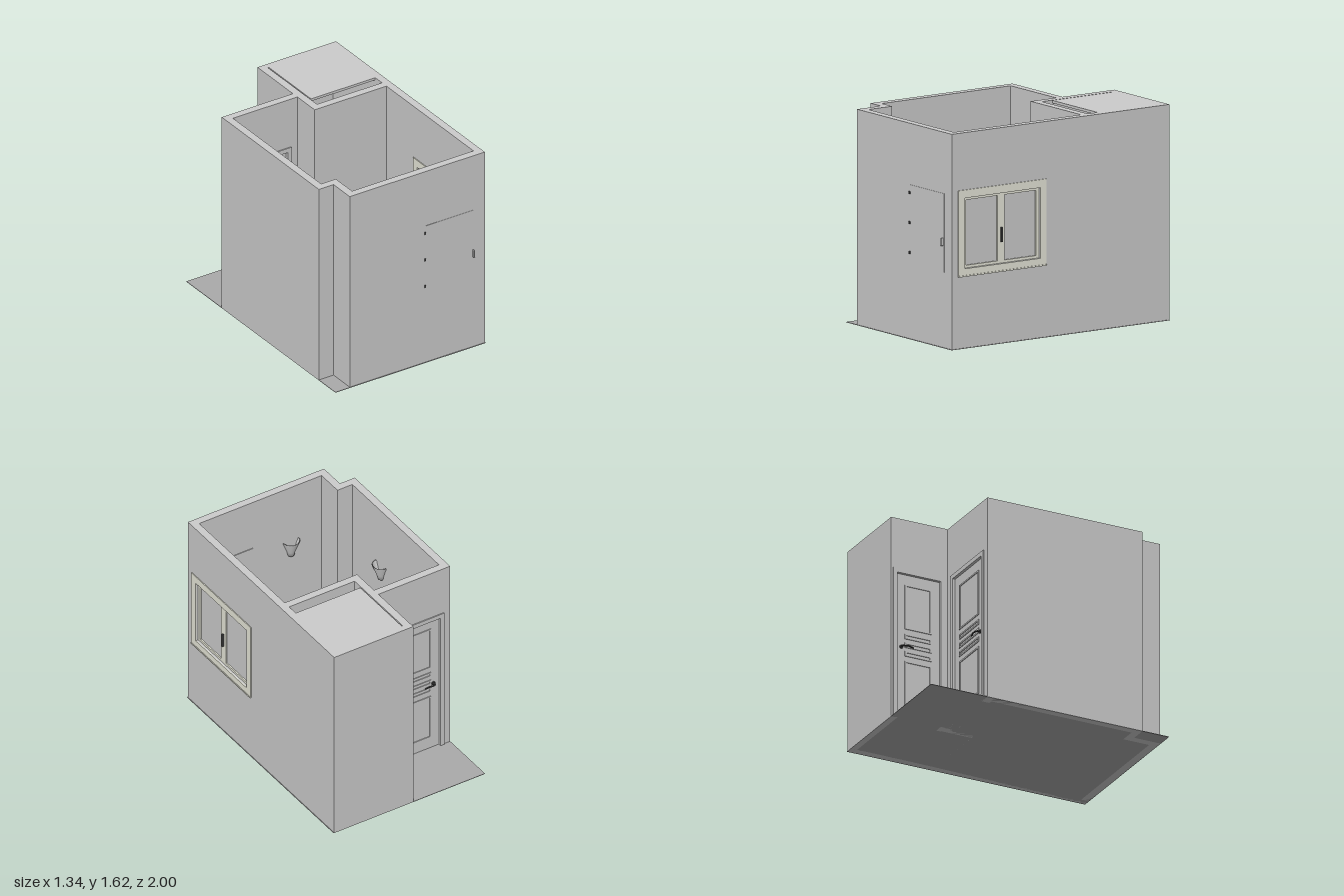
import * as THREE from 'three';
import { RoundedBoxGeometry } from 'three/addons/geometries/RoundedBoxGeometry.js';

const mat = (color, side = THREE.FrontSide) => new THREE.MeshStandardMaterial({ color, side });
const GREY = mat(0xcccccc), FLOOR = mat(0xaaaaaa), CREAM = mat(0xe6e6d8), DARK = mat(0x444444);
const BLACK = mat(0x151515), BLUE = mat(0x245078), ORANGE = mat(0xb8601c), SILVER = mat(0x9a9a9a);
const H = 1.62, DESK = 0.43;

function add(parent, name, geo, material = GREY, x = 0, y = 0, z = 0) {
  const m = new THREE.Mesh(geo, material);
  m.name = name;
  m.position.set(x, y, z);
  parent.add(m);
  return m;
}
// Box given by its extents
function box(parent, name, x0, x1, y0, y1, z0, z1, material = GREY) {
  return add(parent, name, new THREE.BoxGeometry(x1 - x0, y1 - y0, z1 - z0), material,
    (x0 + x1) / 2, (y0 + y1) / 2, (z0 + z1) / 2);
}
function group(parent, name, x = 0, y = 0, z = 0, ry = 0) {
  const g = new THREE.Group();
  g.name = name;
  g.position.set(x, y, z);
  g.rotation.y = ry;
  parent.add(g);
  return g;
}
function rect(Type, x0, x1, y0, y1) {
  const s = new Type();
  s.moveTo(x0, y0); s.lineTo(x1, y0); s.lineTo(x1, y1); s.lineTo(x0, y1); s.closePath();
  return s;
}
// Rectangular plate with rectangular holes, extruded along +z from z
function plate(parent, name, outer, holes, depth, z = 0, material = GREY) {
  const s = rect(THREE.Shape, ...outer);
  for (const h of holes) s.holes.push(rect(THREE.Path, ...h));
  return add(parent, name, new THREE.ExtrudeGeometry(s, { depth, bevelEnabled: false }), material, 0, 0, z);
}

// Lever handle facing +z, lever pointing along dir
function lever(parent, x, y, z, dir, face) {
  const g = group(parent, 'doorHandle', x, y, z);
  g.scale.z = 1;
  const path = new THREE.CatmullRomCurve3([[0, 0, 0], [0, 0, 0.022], [dir * 0.015, 0, 0.028], [dir * 0.05, 0.004, 0.028],
    [dir * 0.09, -0.004, 0.024]].map(([a, b, c]) => new THREE.Vector3(a, b, c * face)));
  add(g, 'handleLever', new THREE.TubeGeometry(path, 20, 0.006, 8), DARK);
  const rose = add(g, 'handleRosette', new THREE.CylinderGeometry(0.015, 0.015, 0.008, 20), DARK);
  rose.rotation.x = Math.PI / 2;
}

// Wall with a panelled door; local x along the wall, outer face at z = 0, inner at z = -t
function doorWall(parent, name, x, z, ry, x0, x1, d0, d1, handleX, dir) {
  const g = group(parent, name, x, 0, z, ry), t = 0.06, top = 1.18, c = 0.035;
  const s = new THREE.Shape();
  [[x0, 0], [d0, 0], [d0, top], [d1, top], [d1, 0], [x1, 0], [x1, H], [x0, H]]
    .forEach(([a, b], i) => (i ? s.lineTo(a, b) : s.moveTo(a, b)));
  add(g, 'wall', new THREE.ExtrudeGeometry(s, { depth: t, bevelEnabled: false }), GREY, 0, 0, -t);
  for (const zc of [0, -t - 0.008]) {
    box(g, 'doorCasing', d0 - c, d0, 0, top, zc, zc + 0.008);
    box(g, 'doorCasing', d1, d1 + c, 0, top, zc, zc + 0.008);
    box(g, 'doorCasing', d0 - c, d1 + c, top, top + c, zc, zc + 0.008);
  }
  box(g, 'doorLeaf', d0, d1, 0.005, top, -0.045, -0.015);
  const m = 0.07;
  const panels = [[0.1, 0.48], [0.52, 0.56], [0.59, 0.63], [0.66, 0.70], [0.74, 1.1]];
  for (const [a, b] of panels) for (const zc of [-0.015, -0.051])
    plate(g, 'doorMoulding', [d0 + m, d1 - m, a, b], [[d0 + m + 0.012, d1 - m - 0.012, a + 0.012, b - 0.012]], 0.006, zc);
  lever(g, handleX, 0.59, -0.011, dir, 1);
  lever(g, handleX, 0.59, -0.049, dir, -1);
}

function walls(root) {
  const g = group(root, 'walls');
  box(g, 'leftWall', -0.67, -0.61, 0, H, -0.47, 0.70);
  box(g, 'cornerReturn', -0.67, -0.48, 0, H, 0.70, 0.76);
  box(g, 'cornerSide', -0.54, -0.48, 0, H, 0.76, 0.915);
  box(g, 'frontWall', -0.54, 0.595, 0, H, 0.915, 0.975);
  box(g, 'partitionWall', -0.04, 0.595, 0, H, -0.30, -0.24);
  box(g, 'partitionSide', -0.04, 0.02, 0, H, -0.47, -0.30);
  box(g, 'closetBackWall', 0.02, 0.595, 0, H, -1, -0.95);
  box(g, 'closetCeiling', 0.028, 0.595, H - 0.02, H, -0.95, -0.39);
  // Doors to the hall and to the closet
  doorWall(g, 'entranceDoorWall', 0, -0.53, Math.PI, 0.04, 0.67, 0.13, 0.58, 0.53, -1);
  doorWall(g, 'closetDoorWall', -0.04, 0, -Math.PI / 2, -1, -0.47, -0.95, -0.59, -0.91, 1);
  // Right wall; local x is -z
  const r = group(g, 'rightWall', 0.595, 0, 0, Math.PI / 2);
  plate(r, 'windowWall', [-0.975, 1, 0, H], [[-0.86, -0.175, 0.60, 1.13]], 0.06);
}

// Two-sash window in the right wall
function sideWindow(root) {
  const g = group(root, 'sideWindow', 0.655, 0, 0, Math.PI / 2);
  for (const z of [-0.001, -0.067])
    plate(g, 'windowCasing', [-0.92, -0.12, 0.54, 1.19], [[-0.86, -0.175, 0.60, 1.13]], 0.008, z, CREAM);
  box(g, 'windowSill', -0.92, -0.12, 0.54, 0.55, 0, 0.012, CREAM);
  plate(g, 'windowSash', [-0.86, -0.175, 0.60, 1.13],
    [[-0.835, -0.55, 0.62, 1.11], [-0.485, -0.20, 0.62, 1.11]], 0.03, -0.045, CREAM);
  for (const x of [-0.835, -0.485]) box(g, 'windowPane', x, x + 0.285, 0.62, 1.11, -0.034, -0.026);
  box(g, 'windowHandle', -0.525, -0.513, 0.76, 0.87, -0.015, 0.0, DARK);
}

// Shuttered leaf in the front wall, almost flush with it
function frontWindow(root) {
  const g = group(root, 'frontWindow');
  box(g, 'shutterLeaf', 0.135, 0.56, 0.57, 1.16, 0.97, 0.978);
  plate(g, 'innerFrame', [0.125, 0.59, 0.55, 1.2], [[0.155, 0.565, 0.58, 1.17]], 0.006, 0.909);
  for (const y of [0.65, 0.875, 1.1]) box(g, 'hinge', 0.12, 0.131, y - 0.01, y + 0.01, 0.972, 0.984, DARK);
  add(g, 'shutterHandle', new RoundedBoxGeometry(0.012, 0.06, 0.022, 2, 0.004), GREY, 0.548, 0.798, 0.987);
}

// Half-round uplight; flat side to the wall
function sconce(root, x, z, ry) {
  const g = group(root, 'wallSconce', x, 1.0, z, ry);
  const pts = [[0.001, 0], [0.025, 0], [0.035, 0.04], [0.07, 0.13], [0.062, 0.13], [0.03, 0.045], [0.001, 0.03]]
    .map(([a, b]) => new THREE.Vector2(a, b));
  add(g, 'sconceShade', new THREE.LatheGeometry(pts, 24, -Math.PI / 2, Math.PI), mat(0xcccccc, THREE.DoubleSide));
}

function desk(root) {
  const g = group(root, 'desk');
  box(g, 'deskTop', 0.18, 0.595, DESK - 0.02, DESK, 0.2, 0.915);
  for (const z of [0.2, 0.895]) box(g, 'deskSide', 0.2, 0.595, 0.006, DESK - 0.02, z, z + 0.02);
  box(g, 'deskBack', 0.575, 0.595, 0.15, DESK - 0.02, 0.22, 0.895);

  const l = group(g, 'laptop', 0, DESK, 0.59);
  box(l, 'laptopBase', 0.24, 0.35, 0, 0.009, -0.09, 0.09, SILVER);
  for (let i = 0; i < 5; i++) for (let k = 0; k < 12; k++)
    box(l, 'key', 0.282 + i * 0.012, 0.292 + i * 0.012, 0.009, 0.011, -0.08 + k * 0.0135, -0.069 + k * 0.0135, BLACK);
  box(l, 'trackpad', 0.248, 0.274, 0.009, 0.01, -0.022, 0.022, GREY);
  const lid = group(l, 'laptopLid', 0.35, 0.007, 0);
  lid.rotation.z = -0.32;
  box(lid, 'lidShell', 0, 0.005, 0, 0.12, -0.09, 0.09, SILVER);
  box(lid, 'laptopScreen', -0.002, 0, 0.008, 0.113, -0.083, 0.083, ORANGE);

  const m = group(g, 'monitor', 0.5, DESK, 0.59);
  add(m, 'monitorFoot', new THREE.CylinderGeometry(0.088, 0.09, 0.01, 40), BLACK, 0, 0.005);
  add(m, 'monitorNeck', new THREE.CylinderGeometry(0.014, 0.018, 0.1, 20), BLACK, 0.005, 0.055);
  box(m, 'monitorScreen', -0.02, 0.002, 0.07, 0.30, -0.19, 0.19, BLACK);
}

function officeChair(root) {
  const g = group(root, 'officeChair', 0.08, 0, 0.605);
  // Five-star base with casters
  for (let i = 0; i < 5; i++) {
    const leg = group(g, 'chairLeg', 0, 0, 0, -(82 + 72 * i) * Math.PI / 180);
    const arm = box(leg, 'legArm', 0, 0.17, 0.045, 0.06, -0.01, 0.01, BLACK);
    arm.rotation.z = -0.04;
    for (const s of [-1, 1]) {
      const w = add(leg, 'casterWheel', new THREE.CylinderGeometry(0.019, 0.019, 0.01, 20), BLACK, 0.165, 0.024, s * 0.011);
      w.rotation.x = Math.PI / 2;
    }
  }
  add(g, 'gasColumn', new THREE.CylinderGeometry(0.014, 0.02, 0.18, 20), BLACK, 0, 0.14);
  add(g, 'seat', new RoundedBoxGeometry(0.25, 0.045, 0.25, 4, 0.02), BLUE, 0.03, 0.25, 0);
  // Backrest bowed around the sitter
  const backGeo = new RoundedBoxGeometry(0.035, 0.27, 0.25, 6, 0.016);
  const p = backGeo.attributes.position;
  for (let i = 0; i < p.count; i++) p.setX(i, p.getX(i) + 1.6 * p.getZ(i) ** 2);
  backGeo.computeVertexNormals();
  add(g, 'backrest', backGeo, BLUE, -0.085, 0.42, 0).rotation.z = 0.1;
  box(g, 'backSupport', -0.105, -0.09, 0.22, 0.36, -0.025, 0.025, BLACK);
  for (const s of [-1, 1]) {
    add(g, 'armrest', new RoundedBoxGeometry(0.13, 0.02, 0.045, 3, 0.009), BLACK, 0.015, 0.37, s * 0.152);
    box(g, 'armPost', 0, 0.03, 0.24, 0.365, s * 0.147 - 0.008, s * 0.147 + 0.008, BLACK);
    box(g, 'armBracket', 0, 0.03, 0.225, 0.24, s * 0.08 - 0.075, s * 0.08 + 0.075, BLACK);
  }
}

// Cooker against the partition, controls facing -x
function cooker(root) {
  const g = group(root, 'cooker');
  box(g, 'cookerBody', 0.195, 0.525, 0.006, 0.48, -0.238, 0.11, SILVER);
  box(g, 'cookerDoor', 0.187, 0.195, 0.06, 0.39, -0.225, 0.097, DARK);
  box(g, 'cookerPanel', 0.187, 0.195, 0.40, 0.47, -0.235, 0.107, DARK);
  box(g, 'cookerHandle', 0.175, 0.183, 0.36, 0.37, -0.2, 0.07, SILVER);
  for (const z of [-0.2, 0.062]) box(g, 'handleMount', 0.18, 0.188, 0.36, 0.37, z, z + 0.01, SILVER);
  for (let i = 0; i < 5; i++) {
    const k = add(g, 'knob', new THREE.CylinderGeometry(0.012, 0.013, 0.014, 16), BLACK, 0.181, 0.435, -0.185 + i * 0.06);
    k.rotation.z = Math.PI / 2;
  }
}

export function createModel() {
  const root = new THREE.Group();
  root.name = 'roomModel';
  box(root, 'floorSlab', -0.67, 0.66, 0, 0.004, -1, 0.98, FLOOR);
  box(root, 'roomFloor', -0.61, 0.595, 0.004, 0.007, -0.47, 0.70);
  box(root, 'roomFloorFront', -0.48, 0.595, 0.004, 0.007, 0.70, 0.915);
  box(root, 'closetFloor', 0.02, 0.595, 0.004, 0.0065, -0.95, -0.30);
  walls(root);
  sideWindow(root);
  frontWindow(root);
  sconce(root, -0.61, -0.13, Math.PI / 2);
  sconce(root, -0.61, 0.31, Math.PI / 2);
  sconce(root, -0.21, 0.915, Math.PI);
  desk(root);
  officeChair(root);
  cooker(root);
  return root;
}
